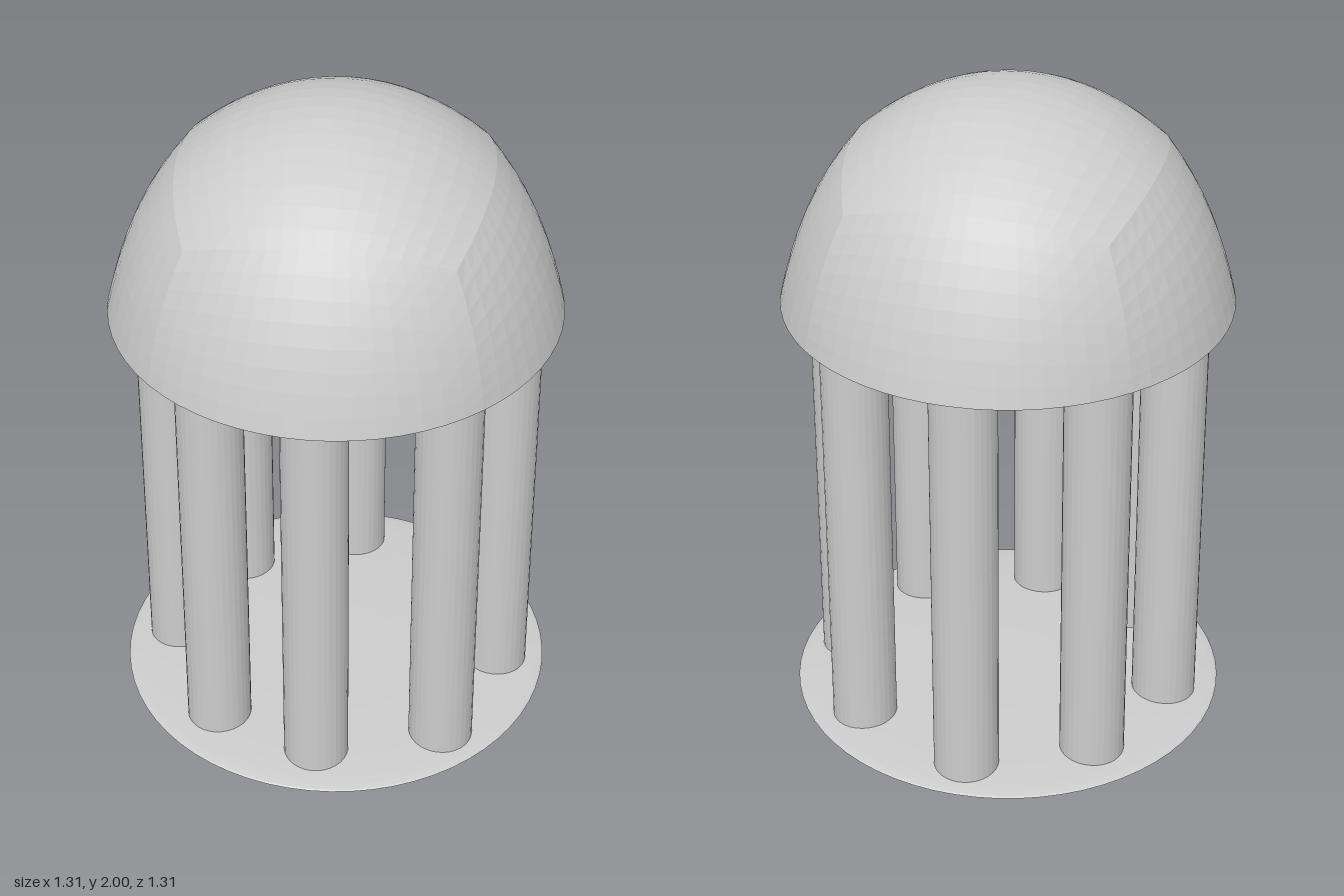
import * as THREE from 'three';

const stone = new THREE.MeshStandardMaterial({ color: 0xcccccc, flatShading: true });
stone.name = 'pale grey stone';

const RADIUS = 0.657;
const EAVES = 1.355;
const HEIGHT = 2 - EAVES;

function addMesh(parent, name, geometry, x, y, z) {
  const mesh = new THREE.Mesh(geometry, stone);
  mesh.name = name;
  mesh.position.set(x, y, z);
  parent.add(mesh);
  return mesh;
}

// Rounded dome: the upper half of a gridded cube, puffed out to a soft-cornered hemisphere
function domeGeometry() {
  const box = new THREE.BoxGeometry(2, 1, 2, 16, 8, 16).translate(0, 0.5, 0);
  const p = box.attributes.position;
  const v = new THREE.Vector3();
  const spread = (t) => Math.tan((t * Math.PI) / 4);
  for (let i = 0; i < p.count; i++) {
    v.set(spread(p.getX(i)), spread(p.getY(i)), spread(p.getZ(i)));
    const corner = (v.lengthSq() - 1) / 2;
    v.normalize();
    const rise = 1 - Math.exp(-v.y / 0.3);
    const bulge = 1 + 0.045 * corner * rise;
    const r = RADIUS * bulge * (1 - 0.07 * rise);
    p.setXYZ(i, v.x * r, v.y * HEIGHT * bulge, v.z * r);
  }
  // Leave out the underside, which the ceiling closes
  const index = Array.from(box.index.array);
  const under = box.groups[3];
  index.splice(under.start, under.count);
  box.setIndex(index);
  box.clearGroups();
  box.computeVertexNormals();
  return box;
}

// Very shallow lens used for the floor and the ceiling
function lensGeometry(halfHeight) {
  return new THREE.SphereGeometry(1, 64, 24).scale(RADIUS - 0.003, halfHeight, RADIUS - 0.003);
}

export function createModel() {
  const model = new THREE.Group();
  model.name = 'pavilion';

  addMesh(model, 'floor', lensGeometry(0.027), 0, 0.027, 0);
  addMesh(model, 'ceiling', lensGeometry(0.016), 0, EAVES, 0);
  addMesh(model, 'dome', domeGeometry(), 0, EAVES, 0);

  // Ring of eight slightly uneven columns
  const columns = new THREE.Group();
  columns.name = 'columns';
  model.add(columns);
  const spots = [
    [0, 0.485], [0.365, 0.36], [0.503, 0], [0.365, -0.34],
    [0, -0.51], [-0.345, -0.345], [-0.495, 0], [-0.315, 0.36],
  ];
  const shaft = new THREE.CylinderGeometry(0.097, 0.097, 1.325, 32);
  spots.forEach(([x, z], i) => addMesh(columns, `column${i + 1}`, shaft, x, 0.025 + 1.325 / 2, z));

  return model;
}
